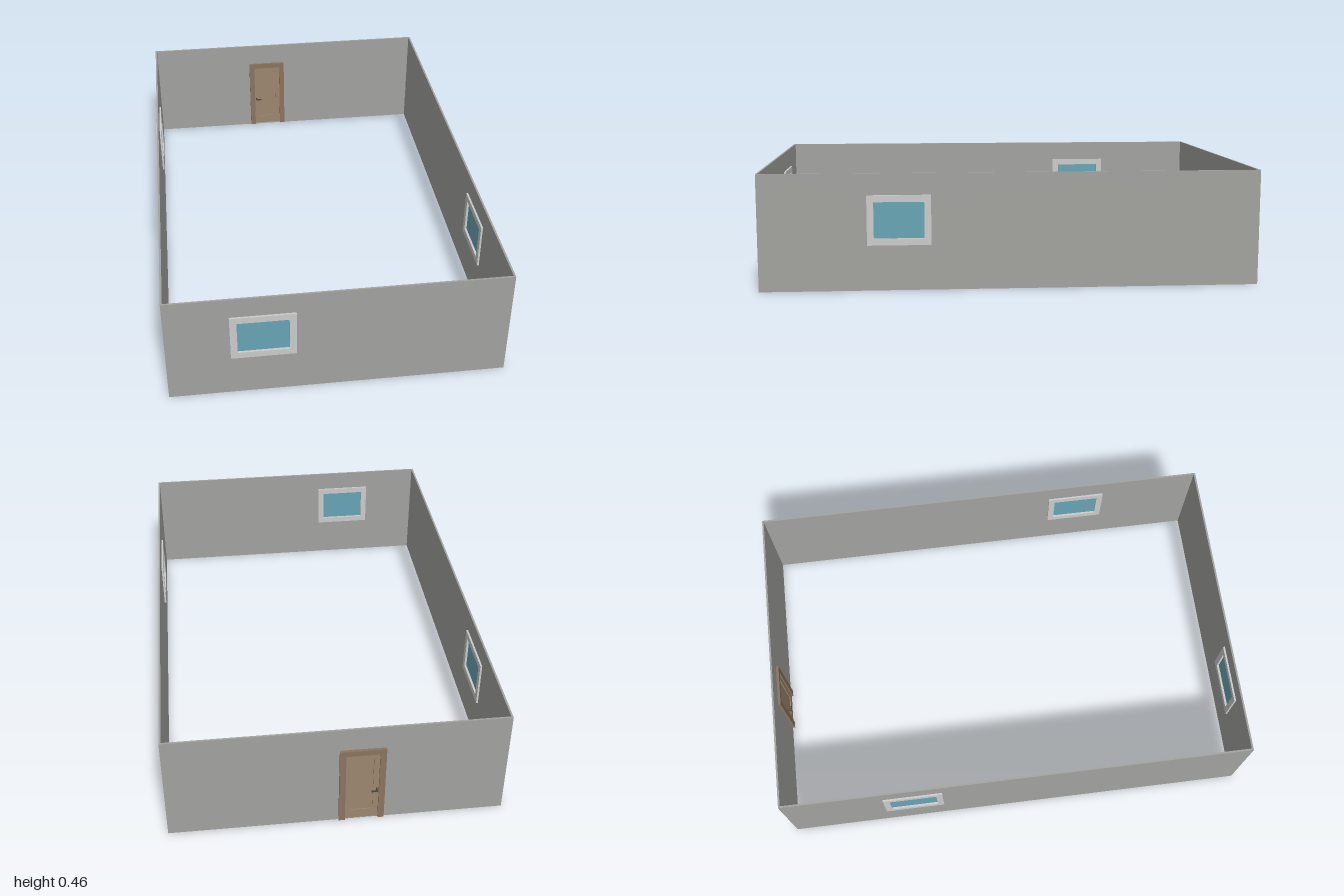
import * as THREE from 'three';

const mat = (color) => new THREE.MeshStandardMaterial({ color });
const wallMat = mat(0xa2a29f);
const frameMat = mat(0xcccccc);
const glassMat = mat(0x68a4b4);
const doorMat = mat(0x9c866f);
const trimMat = mat(0x8a745e);
const metalMat = mat(0x4a4540);

const T = 0.0075; // wall thickness
const H = 0.46; // wall height
const X = 0.651, FRONT = 0.9885, BACK = -0.9735; // wall centre planes
const MID = (FRONT + BACK) / 2;
const WIN = { w: 0.249, h: 0.196, y: 0.277, border: 0.0265, depth: 0.023 };
const DOOR = { x: -0.094, w: 0.177, h: 0.36, border: 0.024, depth: 0.029 };

function rectPath(Type, x0, y0, x1, y1) {
  const p = new Type();
  p.moveTo(x0, y0).lineTo(x1, y0).lineTo(x1, y1).lineTo(x0, y1).closePath();
  return p;
}

// Flat slab centred on z = 0, with one rectangular opening
function slab(name, outer, hole, depth, material) {
  const shape = rectPath(THREE.Shape, ...outer);
  shape.holes.push(rectPath(THREE.Path, ...hole));
  const geo = new THREE.ExtrudeGeometry(shape, { depth, bevelEnabled: false });
  geo.translate(0, 0, -depth / 2);
  const mesh = new THREE.Mesh(geo, material);
  mesh.name = name;
  return mesh;
}

function box(name, w, h, d, x, y, z, material) {
  const mesh = new THREE.Mesh(new THREE.BoxGeometry(w, h, d), material);
  mesh.position.set(x, y, z);
  mesh.name = name;
  return mesh;
}

function makeWindow() {
  const g = new THREE.Group();
  g.name = 'window';
  const { w, h, border: b, depth } = WIN;
  const iw = w / 2 - b, ih = h / 2 - b;
  g.add(slab('windowFrame', [-w / 2, -h / 2, w / 2, h / 2], [-iw, -ih, iw, ih], depth, frameMat));
  g.add(box('windowGlass', iw * 2, ih * 2, 0.005, 0, 0, 0, glassMat));
  return g;
}

function makeDoor() {
  const g = new THREE.Group();
  g.name = 'door';
  const { w, h, border: b, depth } = DOOR;
  const lw = w - 2 * b, lh = h - b;
  // Casing: two posts and a head
  for (const s of [-1, 1]) {
    g.add(box('doorPost', b, h - 0.004, depth, s * (w - b) / 2, h / 2 + 0.002, 0, trimMat));
  }
  g.add(box('doorHead', lw, b, depth, 0, h - b / 2, 0, trimMat));
  // Leaf: outer rails around a recessed panel
  const m = 0.022;
  g.add(slab('doorLeaf', [-lw / 2, 0.008, lw / 2, lh],
    [-lw / 2 + m, 0.05, lw / 2 - m, lh - m], 0.017, doorMat));
  g.add(box('doorPanel', lw - 2 * m, lh - m - 0.05, 0.009, 0, (lh - m + 0.05) / 2, 0, doorMat));
  // Lever handle on both faces
  const hx = -lw / 2 + 0.008;
  for (const s of [-1, 1]) {
    const spindle = new THREE.Mesh(new THREE.CylinderGeometry(0.003, 0.003, 0.018, 12), metalMat);
    spindle.rotation.x = Math.PI / 2;
    spindle.position.set(hx, 0.157, s * 0.0165);
    spindle.name = 'handleSpindle';
    g.add(spindle, box('handleLever', 0.026, 0.006, 0.004, hx + 0.01, 0.157, s * 0.0245, metalMat));
  }
  return g;
}

export function createModel() {
  const model = new THREE.Group();
  model.name = 'room';

  // Walls, each with its opening at "at" along the wall
  const walls = [
    { name: 'frontWall', half: X + T / 2, pos: [0, 0, FRONT], at: -0.2875 },
    { name: 'backWall', half: X + T / 2, pos: [0, 0, BACK], at: DOOR.x, door: true },
    { name: 'leftWall', half: (FRONT - BACK - T) / 2, pos: [X, 0, MID], at: MID - 0.448, side: true },
    { name: 'rightWall', half: (FRONT - BACK - T) / 2, pos: [-X, 0, MID], at: MID + 0.435, side: true },
  ];
  for (const { name, half, pos, at, door, side } of walls) {
    const g = new THREE.Group();
    g.name = name;
    const hw = door ? DOOR.w / 2 - 0.012 : WIN.w / 2 - 0.012;
    const hh = WIN.h / 2 - 0.012;
    const hole = door
      ? [at - hw, 0.002, at + hw, DOOR.h - 0.012]
      : [at - hw, WIN.y - hh, at + hw, WIN.y + hh];
    g.add(slab(name + 'Panel', [-half, 0, half, H], hole, T, wallMat));
    const unit = door ? makeDoor() : makeWindow();
    unit.position.set(at, door ? 0 : WIN.y, 0);
    g.add(unit);
    g.position.set(...pos);
    if (side) g.rotation.y = Math.PI / 2;
    model.add(g);
  }
  return model;
}
